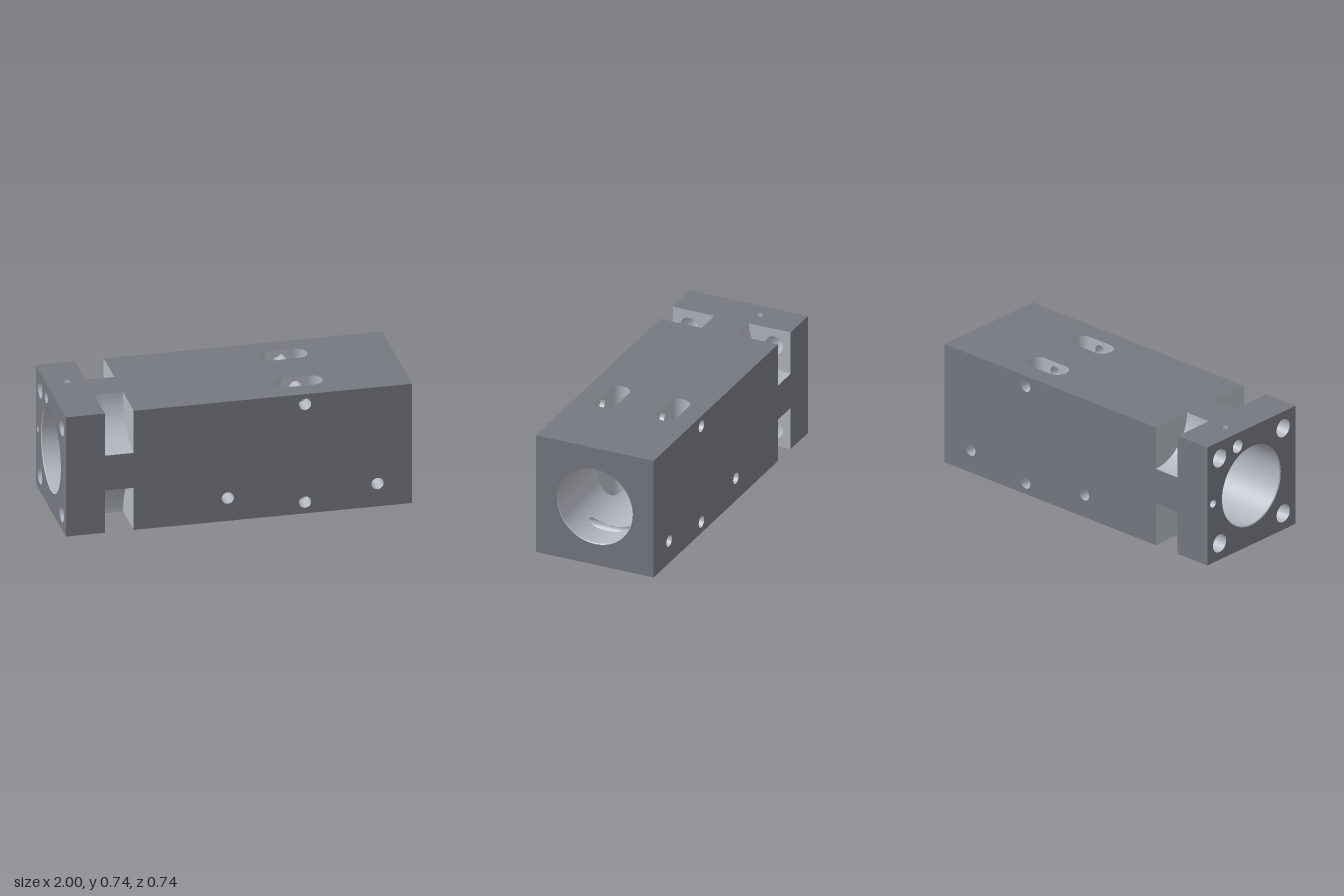
import * as THREE from 'three';
import { toCreasedNormals } from 'three/addons/utils/BufferGeometryUtils.js';

const H = 0.3675;               // half height and half depth
const N0 = -0.775, N1 = -0.608; // corner notch along x
const NR = 0.26;                // notch radius
const R = 0.232;                // main bore radius
const BX0 = -0.246, BX1 = 0.995;
const SX = 0.382, SZ = 0.187, SR = 0.065, SL = 0.077; // slot centre, radius, half straight length
const PIN = 0.035;
const grazing = [[-0.065, -0.227], [0.8, -0.227]];    // cross holes breaking into the bore
const solid = [[0.382, -0.298], [0.382, 0.305]];      // cross holes passing through the slots
const BOLT = 0.265, BOLT_R = 0.055;

// Dark outer skin, paler machined surfaces
const skin = new THREE.MeshStandardMaterial({ color: 0x767881, side: THREE.DoubleSide });
const machined = new THREE.MeshStandardMaterial({ color: 0xb3b7c0, side: THREE.DoubleSide });

const circle = (x, y, r) => new THREE.Path().absarc(x, y, r, 0, Math.PI * 2, true);
const polygon = (pts) => new THREE.Shape(pts.map(([x, y]) => new THREE.Vector2(x, y)));
const rect = (x0, y0, x1, y1) => polygon([[x0, y0], [x1, y0], [x1, y1], [x0, y1]]);

function slotPath(v) {
  const p = new THREE.Path();
  p.absarc(SX + SL, v, SR, -Math.PI / 2, Math.PI / 2, false);
  p.absarc(SX - SL, v, SR, Math.PI / 2, Math.PI * 1.5, false);
  return p.closePath();
}

// Surface spanned between two point rows
function strip(rows) {
  const pos = [], index = [];
  rows.forEach(([a, b], i) => {
    pos.push(...a, ...b);
    const k = i * 2;
    if (i) index.push(k - 2, k - 1, k, k, k - 1, k + 1);
  });
  const g = new THREE.BufferGeometry();
  g.setAttribute('position', new THREE.Float32BufferAttribute(pos, 3));
  g.setIndex(index);
  g.computeVertexNormals();
  return g;
}

const arc = (n, from, to, f) =>
  Array.from({ length: n + 1 }, (_, i) => f(from + ((to - from) * i) / n));
const boreDepth = (v) => Math.sqrt(Math.max(0, R * R - v * v));

export function createModel() {
  const model = new THREE.Group();
  const body = new THREE.Group();
  body.name = 'body';
  body.position.y = H;
  model.add(body);
  const add = (name, geometry, material = machined) => {
    const m = new THREE.Mesh(geometry, material);
    m.name = name;
    body.add(m);
    return m;
  };
  const face = (name, shape, holes = [], material = machined) => {
    shape.holes.push(...holes);
    return add(name, new THREE.ShapeGeometry(shape, 32), material);
  };

  // Four long sides, each with a notch in both edges
  const n = H - NR;
  const sideShape = () => polygon([
    [-1, -H], [N0, -H], [N0, -n], [N1, -n], [N1, -H], [1, -H],
    [1, H], [N1, H], [N1, n], [N0, n], [N0, H], [-1, H]]);
  const pins = (s) => [...grazing, ...solid].map(([x, y]) => circle(x, s * y, PIN));
  const slots = () => [slotPath(SZ), slotPath(-SZ)];
  [
    ['frontSide', 0, pins(1)],
    ['backSide', Math.PI, pins(-1)],
    ['topSide', -Math.PI / 2, [...slots(), circle(-0.89, 0.11, 0.025)]],
    ['bottomSide', Math.PI / 2, slots()],
  ].forEach(([name, angle, holes]) => {
    face(name, sideShape(), holes, skin).geometry.translate(0, 0, H).rotateX(angle);
  });

  // End faces
  face('rightEnd', rect(-H, -H, H, H), [circle(0, 0, 0.237)], skin)
    .geometry.translate(0, 0, 1).rotateY(Math.PI / 2);
  const corners = [[1, 1], [-1, 1], [-1, -1], [1, -1]];
  face('leftEnd', rect(-H, -H, H, H), [
    circle(0, 0, 0.245), circle(-0.115, 0.285, 0.04), circle(-0.32, 0, 0.024),
    ...corners.map(([a, b]) => circle(a * BOLT, b * BOLT, BOLT_R)),
  ], skin).geometry.translate(0, 0, 1).rotateY(-Math.PI / 2);

  // Round hole wall along x, with an optional closed bottom
  const endHole = (name, z, y, r, depth, blind) => {
    add(name, new THREE.CylinderGeometry(r, r, depth, 32, 1, true)
      .rotateZ(Math.PI / 2).translate(-1 + depth / 2, y, z));
    if (blind) add(name + 'Bottom', new THREE.CircleGeometry(r, 32)
      .rotateY(-Math.PI / 2).translate(-1 + depth, y, z));
  };
  endHole('portHole', -0.115, 0.285, 0.04, 0.17, true);
  endHole('dowelHole', -0.32, 0, 0.024, 0.1, true);
  add('topPort', new THREE.CylinderGeometry(0.025, 0.025, 0.06, 24, 1, true)
    .translate(-0.89, H - 0.03, -0.11));
  add('topPortBottom', new THREE.CircleGeometry(0.025, 24)
    .rotateX(-Math.PI / 2).translate(-0.89, H - 0.06, -0.11));

  // Corner notches: hollow quarter-round floor, two end walls, bolt hole
  corners.forEach(([a, b]) => {
    add('notchFloor', strip(arc(24, 0, Math.PI / 2, (t) => {
      const y = b * (H - NR * Math.sin(t)), z = a * (H - NR * Math.cos(t));
      return [[N0, y, z], [N1, y, z]];
    })));
    const quarter = () => polygon([[a * H, b * H], ...arc(24, 0, Math.PI / 2, (t) =>
      [a * (H - NR * Math.cos(t)), b * (H - NR * Math.sin(t))])]);
    face('notchWall', quarter(), [circle(a * BOLT, b * BOLT, BOLT_R)])
      .geometry.rotateY(-Math.PI / 2).translate(N0, 0, 0);
    face('notchWall', quarter()).geometry.rotateY(-Math.PI / 2).translate(N1, 0, 0);
    endHole('boltHole', a * BOLT, b * BOLT, BOLT_R, N0 + 1, false);
  });

  // Turned bore profile: left counterbore, narrow throat, right chamfer
  const lathe = (name, pts) => add(name, toCreasedNormals(
    new THREE.LatheGeometry(pts.map(([r, x]) => new THREE.Vector2(r, x)), 96)
      .rotateZ(-Math.PI / 2), 0.2));
  lathe('leftBore', [[0.245, -1], [0.24, -0.995], [0.24, -0.4], [0.16, -0.4], [0.155, -0.398],
    [0.155, -0.252], [0.16, -0.25], [0.22, -0.25], [R, BX0]]);
  lathe('boreChamfer', [[R, BX1], [0.237, 1]]);

  // Main bore wall, interrupted where slots and cross holes break through
  const half = (r, d) => (Math.abs(d) < r ? Math.sqrt(r * r - d * d) : 0);
  const slotHalf = (z) => {
    const d = Math.abs(z) - SZ;
    return Math.abs(d) < SR ? SL + half(SR, d) : 0;
  };
  const cuts = [
    [grazing[0][0], (y) => half(PIN, y - grazing[0][1])],
    [SX, (y, z) => slotHalf(z)],
    [grazing[1][0], (y) => half(PIN, y - grazing[1][1])],
  ];
  for (let k = 0; k <= cuts.length; k++) {
    add('mainBore', strip(arc(360, 0, Math.PI * 2, (t) => {
      const y = R * Math.cos(t), z = R * Math.sin(t);
      const x0 = k ? cuts[k - 1][0] + cuts[k - 1][1](y, z) : BX0;
      const x1 = k < cuts.length ? cuts[k][0] - cuts[k][1](y, z) : BX1;
      return [[x0, y, z], [x1, y, z]];
    })));
  }

  // Cross hole walls
  const pinWall = ([cx, cy], z0, z1) => add('crossHole', strip(arc(48, 0, Math.PI * 2, (t) => {
    const x = cx + PIN * Math.cos(t), y = cy + PIN * Math.sin(t);
    return [[x, y, z0(y)], [x, y, z1]];
  })));
  grazing.forEach((p) => [1, -1].forEach((s) => pinWall(p, (y) => s * boreDepth(y), s * H)));
  solid.forEach((p) => {
    pinWall(p, () => SR - SZ, SZ - SR);
    [1, -1].forEach((s) => pinWall(p, () => s * (SZ + SR), s * H));
  });

  // Slot walls: rounded ends and flat sides pierced by the cross holes
  [1, -1].forEach((s) => {
    [1, -1].forEach((v) => {
      [1, -1].forEach((e) => add('slotEnd', strip(arc(32, -Math.PI / 2, Math.PI / 2, (t) => {
        const x = SX + e * (SL + SR * Math.cos(t)), z = s * (SZ + SR * Math.sin(t));
        return [[x, v * boreDepth(z), z], [x, v * H, z]];
      }))));
      const pin = solid[v > 0 ? 1 : 0];
      [SZ - SR, SZ + SR].forEach((z) =>
        face('slotSide', rect(SX - SL, v * boreDepth(z), SX + SL, v * H), [circle(...pin, PIN)])
          .geometry.translate(0, 0, s * z));
    });
  });

  return model;
}
